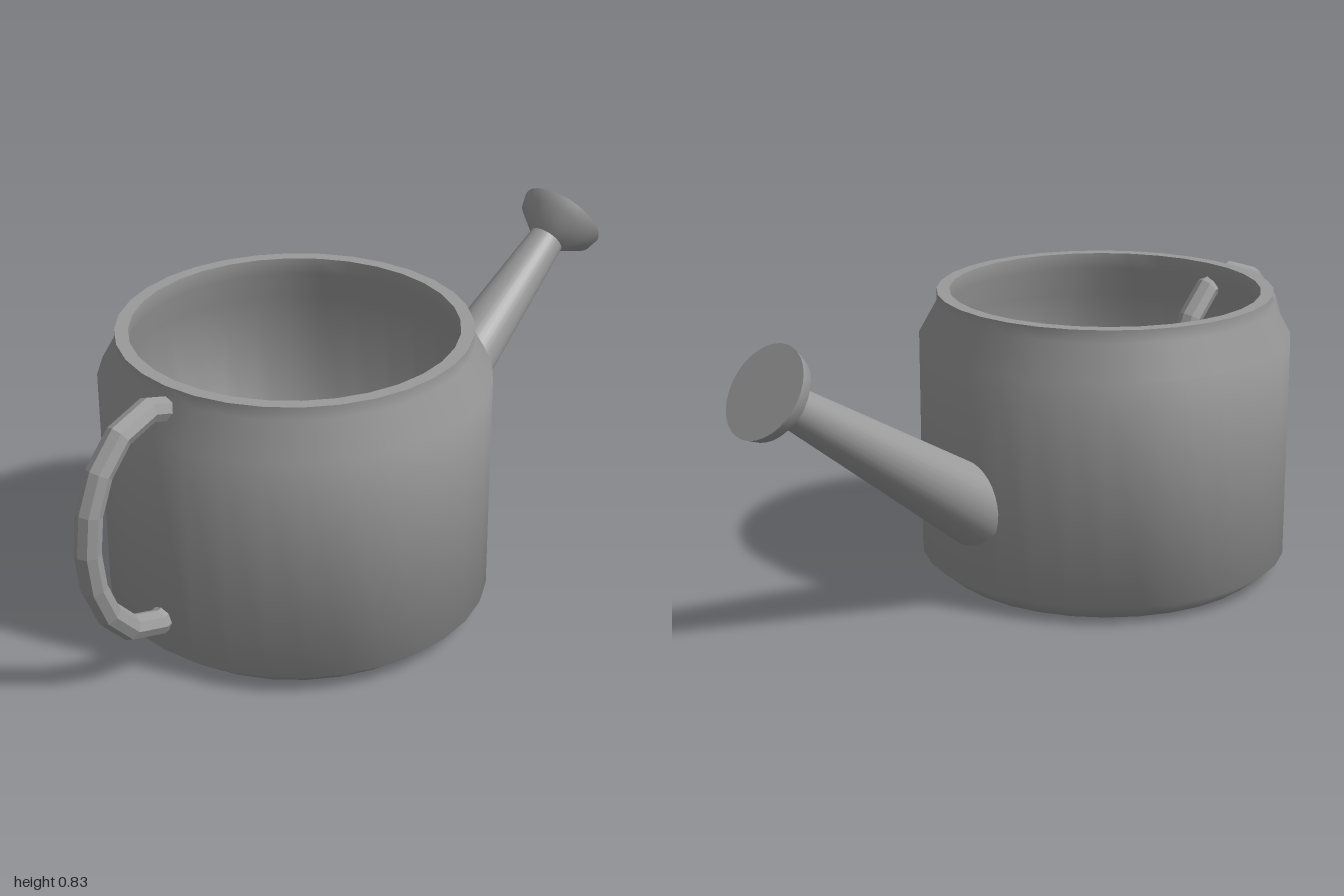
import * as THREE from 'three';
import { toCreasedNormals } from 'three/addons/utils/BufferGeometryUtils.js';

const metal = new THREE.MeshStandardMaterial({ color: 0x9a9a9a });
metal.name = 'grey metal';

// Turned part with smooth sides and sharp rims
function turned(name, profile, sides) {
  const points = profile.map(([r, y]) => new THREE.Vector2(r, y));
  const mesh = new THREE.Mesh(toCreasedNormals(new THREE.LatheGeometry(points, sides), 1.05), metal);
  mesh.name = name;
  return mesh;
}

export function createModel() {
  const model = new THREE.Group();
  model.name = 'wateringCan';

  // Hollow body: bevelled foot, straight wall, shoulder, rim, then the inside
  const body = turned('body', [
    [0, 0], [0.43, 0], [0.45, 0], [0.51, 0.05], [0.51, 0.66], [0.46, 0.75], [0.46, 0.785],
    [0.425, 0.785], [0.425, 0.74], [0.47, 0.65], [0.47, 0.06], [0.43, 0.035], [0, 0.035],
  ], 32);
  body.position.x = -0.23;
  model.add(body);

  // Tapered spout and flared sprinkler head share one tilted axis
  const spout = new THREE.Group();
  spout.name = 'spout';
  spout.position.set(0.244, 0.263, 0);
  spout.rotation.z = THREE.MathUtils.degToRad(-55.7);
  spout.add(
    turned('spoutPipe', [[0, 0], [0.105, 0], [0.052, 0.735]], 32),
    turned('sprinklerHead', [[0.052, 0.735], [0.116, 0.79], [0.125, 0.825], [0, 0.825]], 32),
  );
  model.add(spout);

  // Oval ring handle passing through the body wall
  const ring = [];
  for (let i = 0; i < 16; i++) {
    const a = Math.PI + (i / 16) * Math.PI * 2;
    ring.push(new THREE.Vector3(-0.75 + 0.217 * Math.cos(a), 0.44 + 0.302 * Math.sin(a), 0));
  }
  const path = new THREE.CatmullRomCurve3(ring, true);
  const handleGeometry = new THREE.TubeGeometry(path, 16, 0.034, 8, true).toNonIndexed();
  handleGeometry.computeVertexNormals();
  const handle = new THREE.Mesh(handleGeometry, metal);
  handle.name = 'handle';
  model.add(handle);

  return model;
}
